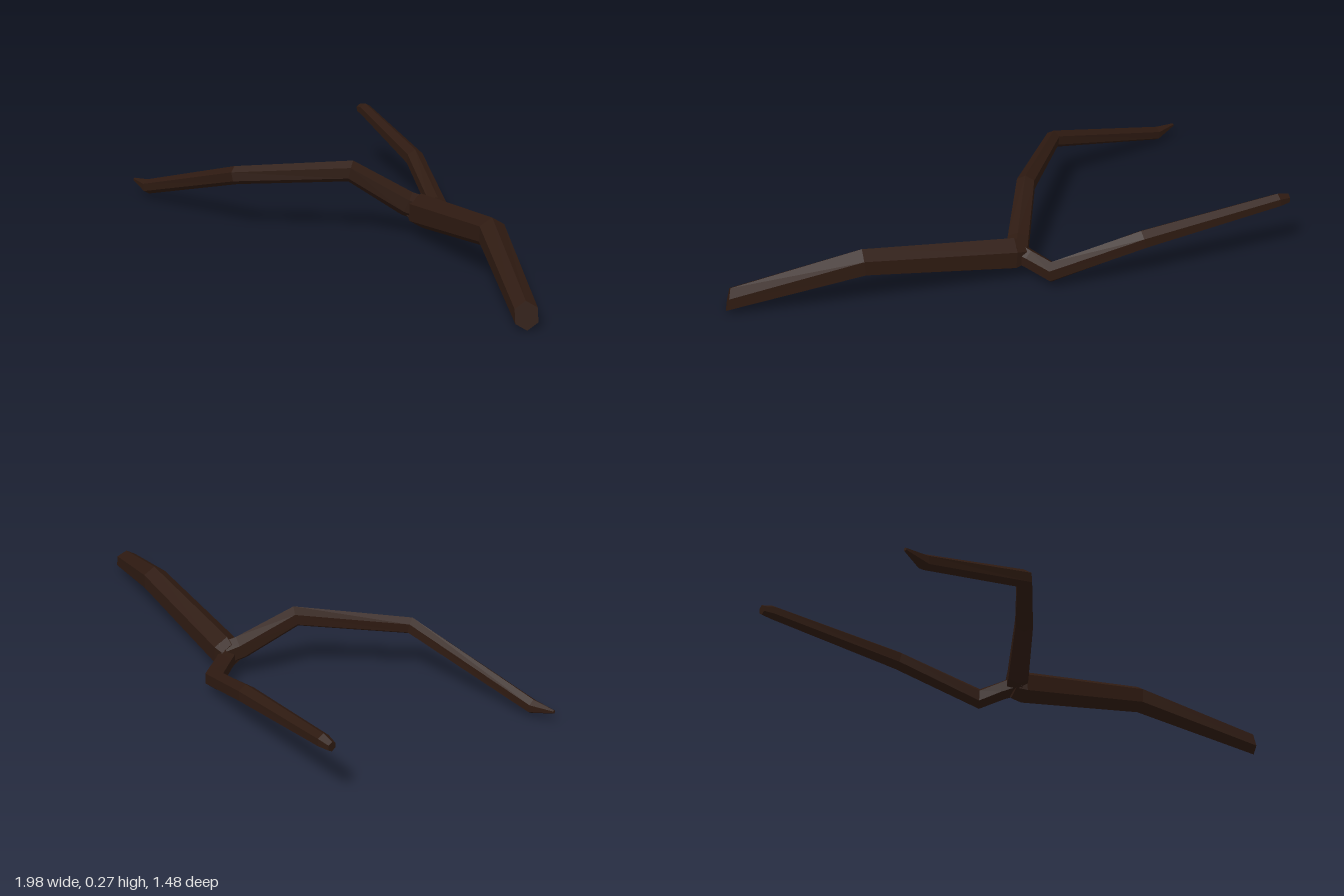
import * as THREE from 'three';

const SIDES = 6;
const bark = new THREE.MeshStandardMaterial({ color: 0x2e1a11, roughness: 1, flatShading: true });

// Closed limb swept through knots [x, y, z, radius], with mitred rings at the bends.
function limb(name, knots, endNormal) {
  const pts = knots.map(k => new THREE.Vector3(k[0], k[1], k[2]));
  const last = pts.length - 1;
  const pos = [], index = [];
  pts.forEach((p, i) => {
    const before = pts[Math.max(i - 1, 0)], after = pts[Math.min(i + 1, last)];
    const dirIn = p.clone().sub(before).normalize();
    const dirOut = after.clone().sub(p).normalize();
    let n = dirIn.add(dirOut).normalize();
    if (i === last && endNormal) n = new THREE.Vector3(...endNormal).normalize();
    const side = new THREE.Vector3(0, 1, 0).cross(n).normalize();
    const up = n.clone().cross(side);
    for (let s = 0; s < SIDES; s++) {
      const a = ((s + 0.5) / SIDES) * Math.PI * 2;
      const v = p.clone()
        .addScaledVector(side, Math.cos(a) * knots[i][3])
        .addScaledVector(up, Math.sin(a) * knots[i][3] * 1.08);
      pos.push(v.x, v.y, v.z);
    }
  });
  for (let i = 0; i < last; i++) {
    for (let s = 0; s < SIDES; s++) {
      const t = (s + 1) % SIDES;
      const a = i * SIDES + s, b = i * SIDES + t;
      index.push(a, b, b + SIDES, a, b + SIDES, a + SIDES);
    }
  }
  // End caps
  const e = last * SIDES;
  for (let s = 1; s < SIDES - 1; s++) {
    index.push(0, s + 1, s, e, e + s, e + s + 1);
  }
  const indexed = new THREE.BufferGeometry();
  indexed.setAttribute('position', new THREE.Float32BufferAttribute(pos, 3));
  indexed.setIndex(index);
  const geo = indexed.toNonIndexed();
  geo.computeVertexNormals();
  const mesh = new THREE.Mesh(geo, bark);
  mesh.name = name;
  return mesh;
}

export function createModel() {
  const branch = new THREE.Group();
  branch.name = 'fallenBranch';

  // Thick main stem, from the fork to its slanted cut end
  branch.add(limb('mainStem', [
    [0.195, 0.08, -0.015, 0.045],
    [0.225, 0.082, 0.01, 0.058],
    [0.655, 0.157, 0.34, 0.05],
    [0.952, 0.036, 0.708, 0.043],
  ], [0.62, 0.25, 0.72]));

  // Long side twig that arches up and comes down to a point
  branch.add(limb('leftTwig', [
    [0.23, 0.08, -0.01, 0.044],
    [0.17, 0.105, 0.022, 0.043],
    [-0.01, 0.222, 0.11, 0.037],
    [-0.405, 0.187, 0.25, 0.031],
    [-0.91, 0.032, 0.087, 0.026],
    [-0.995, 0.041, 0.058, 0.006],
  ]));

  // Back twig, dipping behind the fork and rising to its tip
  branch.add(limb('backTwig', [
    [0.21, 0.085, 0.03, 0.04],
    [0.208, 0.07, -0.05, 0.034],
    [0.21, 0.05, -0.145, 0.037],
    [-0.012, 0.15, -0.385, 0.034],
    [-0.405, 0.221, -0.708, 0.025],
    [-0.442, 0.218, -0.73, 0.017],
  ]));

  return branch;
}
